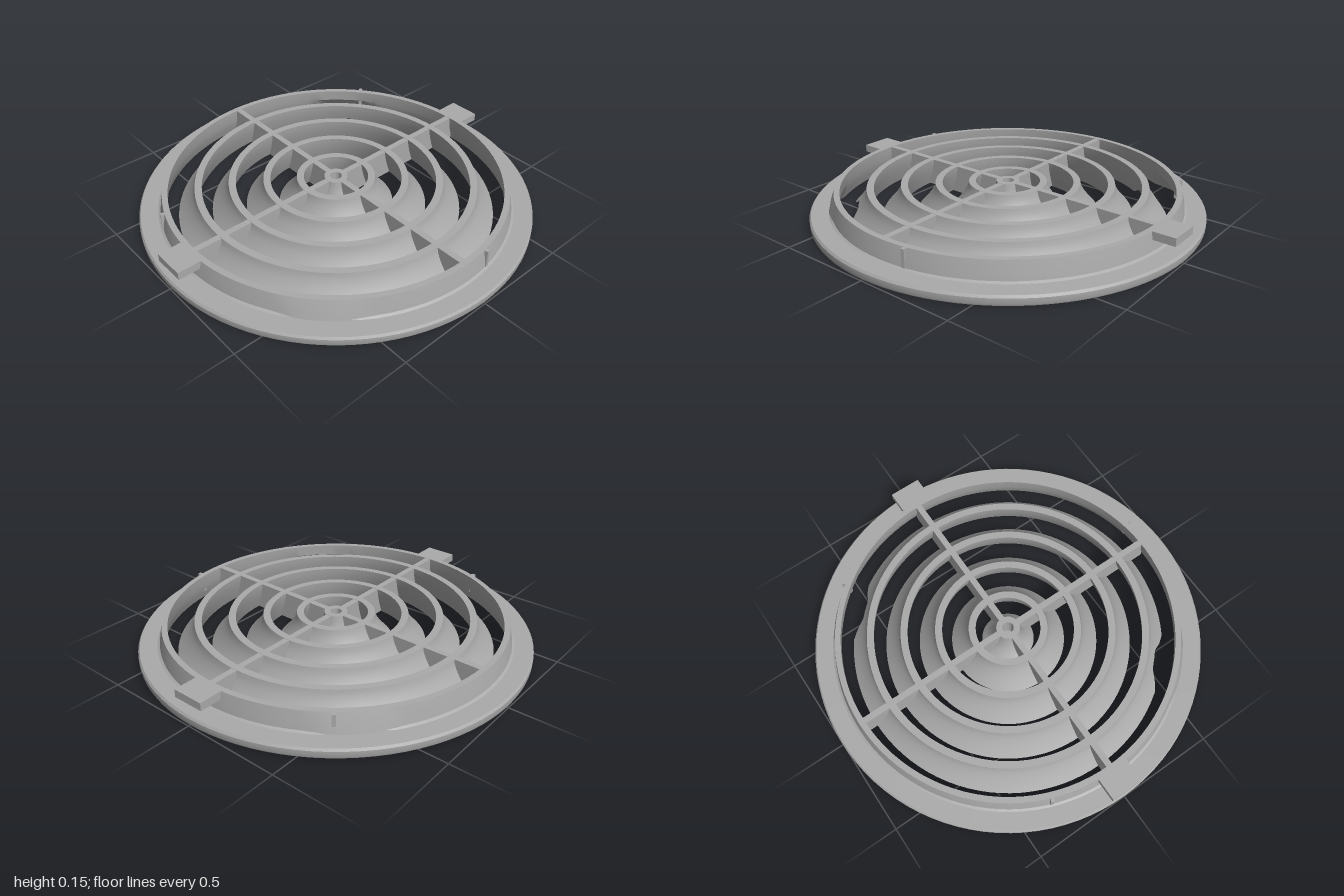
import * as THREE from 'three';
import { toCreasedNormals } from 'three/addons/utils/BufferGeometryUtils.js';

const H = 0.15;          // overall height
const SEGMENTS = 96;

// Weight 1 at the two opposite finger grips, fading to 0 at +-half radians
function gripWeight(x, z, half) {
  let d = (Math.atan2(x, z) - 0.75 * Math.PI) % Math.PI;
  if (d < -Math.PI / 2) d += Math.PI;
  return 1 - THREE.MathUtils.smoothstep(Math.abs(d), half * 0.45, half);
}

// Revolves a profile; reshape(r, y, pointIndex, x, z) may return a new [r, y]
function revolve(profile, reshape) {
  const points = profile.map(([r, y]) => new THREE.Vector2(r, y));
  const geometry = new THREE.LatheGeometry(points, SEGMENTS);
  if (reshape) {
    const pos = geometry.attributes.position;
    for (let i = 0; i < pos.count; i++) {
      const x = pos.getX(i), z = pos.getZ(i), r = Math.hypot(x, z);
      const [nr, ny] = reshape(r, pos.getY(i), i % points.length, x, z);
      pos.setXYZ(i, x * nr / r, ny, z * nr / r);
    }
  }
  return toCreasedNormals(geometry, 0.5);
}

// How far a louvre has flared at height y: 1 at the bottom, 0 at the top
function flare(y, power) {
  return Math.pow(THREE.MathUtils.clamp(1 - y / H, 0, 1), power);
}

export function createModel() {
  const model = new THREE.Group();
  model.name = 'ventGrille';
  const grey = new THREE.MeshStandardMaterial({ color: 0xaaaaaa });
  grey.name = 'grey plastic';

  function add(name, geometry, parent = model) {
    const mesh = new THREE.Mesh(geometry, grey);
    mesh.name = name;
    parent.add(mesh);
    return mesh;
  }
  function box(name, w, h, d, x, y, z, parent) {
    const mesh = add(name, new THREE.BoxGeometry(w, h, d), parent);
    mesh.position.set(x, y, z);
    return mesh;
  }

  // Flange and collar in one piece, with shallow finger pockets underneath
  const frame = [
    [0.885, 0], [0.985, 0], [0.996, 0.006], [1, 0.015], [1, 0.042], [0.992, 0.053],
    [0.905, 0.053], [0.893, 0.06], [0.889, 0.085], [0.876, H],
    [0.847, H], [0.853, 0.09], [0.867, 0.045], [0.885, 0],
  ];
  const last = frame.length - 1;
  add('flangeAndCollar', revolve(frame, (r, y, j, x, z) => {
    const w = gripWeight(x, z, 0.27);
    if (j === 0 || j === last) return [r + 0.045 * w, y];      // pocket mouth
    if (j === last - 1) return [r + 0.018 * w, y + 0.015 * w]; // pocket roof
    if (j === 7) return [r + 0.01 * w, y];                     // bulge outside
    if (j === 8) return [r + 0.008 * w, y];
    return [r, y];
  }));

  // Flared concentric louvres; the largest is notched at the finger grips
  const louvres = new THREE.Group();
  louvres.name = 'louvres';
  model.add(louvres);
  const STEPS = 7;
  for (const top of [0.2, 0.37, 0.545, 0.715]) {
    const outer = y => top + 0.094 * flare(y, 1.6);
    const inner = y => top - 0.036 + 0.042 * flare(y, 1.4);
    const profile = [];
    for (let i = 0; i <= STEPS; i++) profile.push([outer(H * i / STEPS), H * i / STEPS]);
    for (let i = STEPS; i >= 0; i--) profile.push([inner(H * i / STEPS), H * i / STEPS]);
    profile.push(profile[0]);
    const notch = (r, y, j, x, z) => {
      const low = 0.052 * gripWeight(x, z, 0.17);
      const ny = low + y * (H - low) / H;
      const isInner = j > STEPS && j < profile.length - 1;
      return [isInner ? inner(ny) : outer(ny), ny];
    };
    add('louvreRing', revolve(profile, top > 0.7 ? notch : null), louvres);
  }

  // Flared hub with a stepped centre hole
  add('hub', revolve([
    [0.015, 0], [0.135, 0], [0.115, 0.02], [0.093, 0.045], [0.075, 0.08], [0.064, 0.12],
    [0.06, H], [0.029, H], [0.029, 0.03], [0.015, 0.03], [0.015, 0],
  ]));

  // Four spokes, from the hub to the collar
  for (let i = 0; i < 4; i++) {
    const spoke = new THREE.Group();
    spoke.name = 'spoke';
    spoke.rotation.y = i * Math.PI / 2;
    model.add(spoke);
    box('spokeBlade', 0.83, H - 0.006, 0.032, 0.455, H / 2 + 0.002, 0, spoke);
  }

  // Locking tabs on the left and right
  for (const side of [-1, 1]) {
    box('lockingTab', 0.135, 0.04, 0.165, side * 0.9225, H - 0.02, 0);
  }

  // Three small locating ribs around the collar
  for (let i = 0; i < 3; i++) {
    const a = THREE.MathUtils.degToRad(81 + i * 120);
    const rib = box('locatingRib', 0.035, 0.1, 0.018,
      0.878 * Math.cos(a), 0.099, 0.878 * Math.sin(a));
    rib.rotation.y = -a;
  }
  return model;
}
